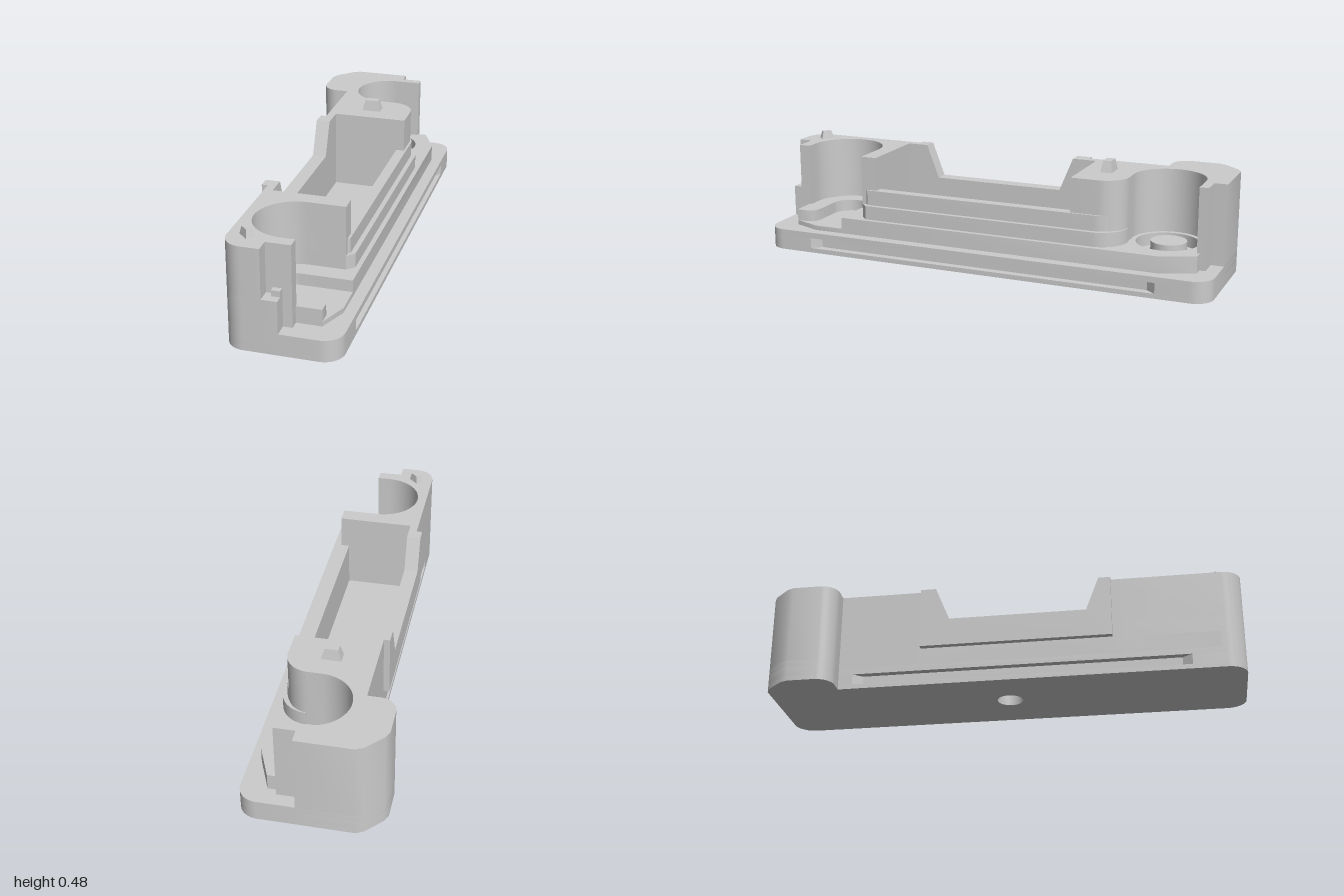
import * as THREE from 'three';
import { toCreasedNormals } from 'three/addons/utils/BufferGeometryUtils.js';

const PI = Math.PI;
const material = new THREE.MeshStandardMaterial({ color: 0xcccccc, side: THREE.DoubleSide });

// points of an arc in plan (x, z)
function arc(cx, cz, r, a0, a1, n = 12) {
  return Array.from({ length: n + 1 }, (_, i) => {
    const a = a0 + (a1 - a0) * i / n;
    return [cx + r * Math.cos(a), cz + r * Math.sin(a)];
  });
}
const rect = (x0, z0, x1, z1) => [[x0, z0], [x1, z0], [x1, z1], [x0, z1]];

export function createModel() {
  const group = new THREE.Group();

  function add(name, geometry) {
    const mesh = new THREE.Mesh(geometry, material);
    mesh.name = name;
    group.add(mesh);
    return mesh;
  }

  // plan outline (x, z) raised from y0 to y1
  function slab(name, points, y0, y1, holes = []) {
    const flip = list => list.map(([x, z]) => new THREE.Vector2(x, -z));
    const shape = new THREE.Shape(flip(points));
    holes.forEach(h => shape.holes.push(new THREE.Path(flip(h))));
    const g = new THREE.ExtrudeGeometry(shape, { depth: y1 - y0, bevelEnabled: false });
    g.rotateX(-PI / 2).translate(0, y0, 0);
    return add(name, toCreasedNormals(g, 0.5));
  }

  // side outline (z, y) extended from x0 to x1
  function sidePlate(name, points, x0, x1) {
    const shape = new THREE.Shape(points.map(([z, y]) => new THREE.Vector2(-z, y)));
    const g = new THREE.ExtrudeGeometry(shape, { depth: x1 - x0, bevelEnabled: false });
    g.rotateY(PI / 2).translate(x0, 0, 0);
    return add(name, toCreasedNormals(g, 0.5));
  }

  // base with a rear side lobe; the middle layer is grooved along both sides
  const lobe = [
    [-0.165, -0.70], ...arc(-0.218, -0.77, 0.07, PI / 2, PI),
    [-0.288, -0.885], [-0.275, -0.915], [-0.21, -0.985], [-0.18, -1],
  ];
  const baseOutline = (right, left) => [
    ...right, ...arc(0.208, 0.92, 0.08, 0, PI / 2), ...arc(-0.085, 0.92, 0.08, PI / 2, PI),
    ...left, ...lobe, ...arc(0.208, -0.92, 0.08, -PI / 2, 0),
  ];
  const plain = baseOutline([], []);
  const grooved = baseOutline(
    [[0.288, -0.78], [0.255, -0.74], [0.255, 0.74], [0.288, 0.78]],
    [[-0.165, 0.78], [-0.135, 0.74], [-0.135, -0.6], [-0.165, -0.64]]);
  const boltHole = arc(0.06, 0, 0.055, 0, 2 * PI, 32).slice(0, -1);
  slab('baseBottom', plain, 0, 0.02, [boltHole]);
  slab('baseGrooveLayer', grooved, 0.02, 0.065, [boltHole]);
  slab('baseTop', plain, 0.065, 0.09);

  // lowest step, with the tray opening, the front channel and the rear pocket
  const tray = rect(-0.13, -0.39, 0.155, 0.5);
  const rearPocket = arc(0.03, -0.757, 0.13, 0, 2 * PI, 36).slice(0, -1);
  slab('lowerStep', [
    [-0.165, -0.92], [0.18, -0.92], [0.24, -0.78], [0.24, 0.65],
    ...arc(0.03, 0.73, 0.08, -PI / 2, -1.5 * PI, 20),
    [0.15, 0.81], [0.18, 0.82], [0.193, 0.85], [0.193, 0.9], [-0.165, 0.9],
  ], 0.09, 0.16, [tray, rearPocket]);
  slab('channelFloor', [[-0.06, 0.64], [0.24, 0.64], [0.24, 0.78], [0.193, 0.9], [-0.06, 0.9]], 0.09, 0.11);
  slab('pocketFloor', arc(0.03, -0.757, 0.135, 0, 2 * PI, 36).slice(0, -1), 0.09, 0.11);
  slab('pocketStub', arc(0.01, -0.757, 0.075, 0, 2 * PI, 32).slice(0, -1), 0.11, 0.16);

  // middle and upper steps forming the low right wall of the tray
  [['middleStep', 0.22, 0.16, 0.22], ['upperStep', 0.2, 0.22, 0.285]].forEach(([name, x, y0, y1]) =>
    slab(name, [
      [0.155, 0.57], [x - 0.03, 0.57], [x, 0.54],
      ...arc(0.1, -0.49, x - 0.1, 0, -PI / 2), [0.1, -0.39], [0.155, -0.39],
    ], y0, y1));

  // front block with a round well open to the right
  const frontBlock = notch => [
    [-0.165, 0.5], [0.19, 0.5], [0.19, 0.57],
    ...arc(0.035, 0.73, 0.16, -PI / 2, -1.5 * PI, 28),
    [0.09, 0.89], [0.09, 0.94], ...notch, ...arc(-0.085, 0.92, 0.08, PI / 2, PI),
  ];
  slab('frontBlockLower', frontBlock([[0.053, 0.94], [0.053, 1]]), 0.09, 0.225);
  slab('frontBlockUpper', frontBlock([[-0.01, 0.94], [-0.01, 1]]), 0.225, 0.43);
  slab('frontLatch', rect(0.018, 0.93, 0.053, 0.965), 0.225, 0.25);

  // rear block: side lobe, round well and the rounded block beside the tray
  slab('rearBlock', [
    [-0.165, -0.39], ...lobe, [0.053, -1], [0.053, -0.945], [0.14, -0.945], [0.14, -0.907],
    ...arc(0.03, -0.757, 0.15, -PI / 2, -1.5 * PI, 28),
    ...arc(0.09, -0.507, 0.1, -PI / 2, 0), [0.19, -0.39],
  ], 0.09, 0.43);

  // left tray wall and its outer flange share the dipped top edge
  const dip = [[0.41, 0.43], [0.355, 0.285], [-0.225, 0.285], [-0.285, 0.43]];
  const dipped = (front, back, y) => [[front, y], [front, 0.43], ...dip, [back, 0.43], [back, y]];
  sidePlate('leftWall', dipped(0.5, -0.39, 0.09), -0.165, -0.13);
  sidePlate('leftFlange', dipped(0.46, -0.35, 0.165), -0.19, -0.165);

  // tapered locating pegs
  function peg(name, x, z, w, d, h, taper, turn) {
    const g = new THREE.CylinderGeometry(taper * Math.SQRT1_2, Math.SQRT1_2, 1, 4).toNonIndexed();
    g.rotateY(PI / 4).scale(w, h, d).rotateY(turn).translate(x, 0.43 + h / 2, z);
    g.computeVertexNormals();
    add(name, g);
  }
  peg('rearPeg', 0.014, -0.495, 0.082, 0.05, 0.047, 0.68, 0);
  peg('frontPeg', -0.09, 0.905, 0.055, 0.035, 0.033, 0.7, -PI / 4);

  return group;
}
